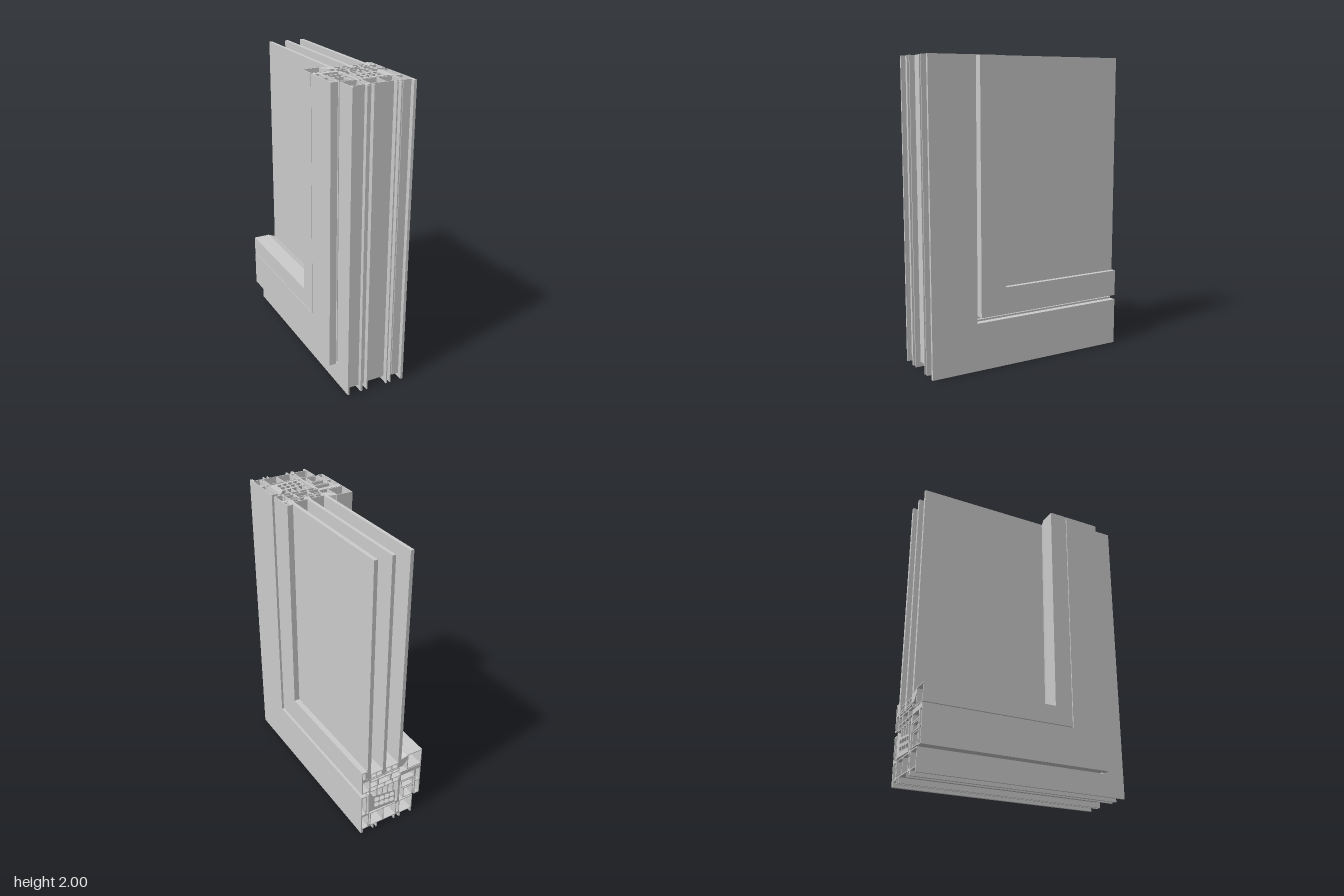
import * as THREE from 'three';

const TOP = 2, EDGE = 0.71;
const material = new THREE.MeshStandardMaterial({ color: 0xcccccc, flatShading: true, side: THREE.DoubleSide });

// Sweeps an (x, z) profile down the upright and, through a mitre, along the sill.
function sweep(name, outline, holes = []) {
  const prepare = (pts, clockwise) => {
    const v = pts.map(([x, z]) => new THREE.Vector2(x, EDGE - z));
    return THREE.ShapeUtils.isClockWise(v) === clockwise ? v : v.reverse();
  };
  const outer = prepare(outline, false);
  const inner = holes.map((h) => prepare(h, true));
  const sections = [
    (p) => [p.x, TOP, EDGE - p.y],
    (p) => [p.x, p.y, EDGE - p.y],
    (p) => [p.x, p.y, -EDGE],
  ];
  const pos = [];
  for (const loop of [outer, ...inner]) {
    loop.forEach((a, i) => {
      const b = loop[(i + 1) % loop.length];
      for (let s = 0; s < 2; s++) {
        const [up, low] = [sections[s], sections[s + 1]];
        pos.push(...low(a), ...low(b), ...up(b), ...low(a), ...up(b), ...up(a));
      }
    });
  }
  // End caps
  const all = [...outer, ...inner.flat()];
  for (const [a, b, c] of THREE.ShapeUtils.triangulateShape(outer, inner)) {
    for (const i of [a, b, c]) pos.push(...sections[0](all[i]));
    for (const i of [c, b, a]) pos.push(...sections[2](all[i]));
  }
  const geo = new THREE.BufferGeometry();
  geo.setAttribute('position', new THREE.Float32BufferAttribute(pos, 3));
  geo.computeVertexNormals();
  const mesh = new THREE.Mesh(geo, material);
  mesh.name = name;
  return mesh;
}

const rect = (x0, x1, z0, z1) => [[x0, z0], [x1, z0], [x1, z1], [x0, z1]];

// Rectangular profile divided into n hollow chambers across x
function chambers(name, x0, x1, z0, z1, n = 1, t = 0.006) {
  const w = (x1 - x0 - t) / n;
  const holes = Array.from({ length: n }, (_, i) =>
    rect(x0 + t + i * w, x0 + (i + 1) * w, z0 + t, z1 - t));
  return sweep(name, rect(x0, x1, z0, z1), holes);
}

function group(name, ...parts) {
  const g = new THREE.Group();
  g.name = name;
  g.add(...parts);
  return g;
}

export function createModel() {
  const model = group('windowCornerSection');

  // Fixed frame: inner shell, insulating bars, outer shell
  const frame = group('fixedFrame',
    chambers('innerFrameShell', -0.18, -0.07, 0.562, 0.68),
    chambers('frameInsulator', -0.05, 0.16, 0.562, 0.675, 2),
    sweep('frameTongue', [[-0.07, 0.35], [-0.055, 0.35], [-0.055, 0.55], [-0.04, 0.55], [-0.04, 0.57], [-0.07, 0.57]]),
    sweep('innerFrameClip', rect(-0.07, -0.05, 0.66, 0.68)),
    sweep('outerFrameClip', rect(0.16, 0.175, 0.66, 0.68)),
    sweep('outerFrameShell',
      [[0.19, 0.393], [0.23, 0.393], [0.23, 0.68], [0.17, 0.68], [0.17, 0.555], [0.19, 0.555]],
      [rect(0.196, 0.224, 0.4, 0.55), rect(0.177, 0.223, 0.568, 0.673)]),
  );
  // Lips along the outer edge
  for (const [x0, x1] of [[-0.18, -0.168], [-0.087, -0.073], [-0.043, -0.035], [0.102, 0.11], [0.13, 0.137], [0.212, 0.23]])
    frame.add(sweep('edgeLip', rect(x0, x1, 0.67, 0.71)));
  model.add(frame);

  // Opening sash
  model.add(group('sash',
    sweep('innerSashShell',
      [[-0.235, 0.31], [-0.07, 0.31], [-0.07, 0.395], [-0.19, 0.395], [-0.19, 0.56], [-0.235, 0.56]],
      [rect(-0.183, -0.077, 0.34, 0.388), rect(-0.228, -0.197, 0.34, 0.44), rect(-0.228, -0.197, 0.447, 0.553)]),
    chambers('hardwareChannel', -0.18, -0.08, 0.4, 0.455),
    chambers('hardwareChannel', -0.18, -0.1, 0.462, 0.552),
    chambers('sashInsulator', -0.07, 0.175, 0.332, 0.372, 4),
    sweep('outerSashShell',
      [[0.2, 0.183], [0.23, 0.183], [0.23, 0.362], [0.165, 0.362], [0.165, 0.265], [0.2, 0.25]],
      [rect(0.206, 0.224, 0.19, 0.24), rect(0.172, 0.223, 0.268, 0.355)]),
  ));

  // Glazing bead and gaskets
  model.add(group('glazingBead',
    chambers('bead', -0.235, -0.12, 0.183, 0.305),
    sweep('innerGlassGasket', [[-0.12, 0.187], [-0.07, 0.2], [-0.07, 0.26], [-0.085, 0.26], [-0.12, 0.22]]),
    sweep('outerGlassGasket', rect(0.19, 0.2, 0.187, 0.245)),
  ));

  // Central seal: tapered core pierced by two rows of slanted cells
  const cells = [];
  for (let row = 0; row < 2; row++)
    for (let i = 0; i < 4; i++) {
      const x = -0.022 + i * 0.04, z = 0.455 + row * 0.045 - i * 0.004;
      cells.push([[x, z], [x + 0.028, z - 0.004], [x + 0.034, z + 0.015], [x + 0.026, z + 0.033], [x - 0.002, z + 0.036], [x - 0.006, z + 0.017]]);
    }
  model.add(group('centralSeal',
    sweep('sealCore', [[-0.035, 0.445], [0.14, 0.42], [0.155, 0.545], [-0.035, 0.555]], cells),
    sweep('sealWing', [[0.14, 0.42], [0.172, 0.38], [0.18, 0.385], [0.175, 0.555], [0.155, 0.545]]),
    ...[0, 1, 2, 3].map((i) => sweep('sealFin', rect(-0.02 + i * 0.043, -0.012 + i * 0.043, 0.372, 0.45 - i * 0.006))),
  ));

  // Triple glazing with spacers and support block
  const glazing = group('glazing');
  for (const [x0, x1] of [[-0.07, -0.047], [0.05, 0.073], [0.165, 0.19]]) {
    const pane = new THREE.Mesh(new THREE.BoxGeometry(x1 - x0, 1.55, 0.97), material);
    pane.position.set((x0 + x1) / 2, 1.225, -0.225);
    pane.name = 'glassPane';
    glazing.add(pane);
  }
  glazing.add(
    chambers('spacer', -0.047, 0.05, 0.217, 0.257, 2),
    chambers('spacer', 0.073, 0.165, 0.217, 0.257, 2),
    chambers('glazingBlock', -0.06, 0.165, 0.262, 0.29, 4),
    sweep('blockSupport', rect(0, 0.012, 0.29, 0.332)),
    sweep('blockSupport', rect(0.1, 0.112, 0.29, 0.332)),
  );
  model.add(glazing);
  return model;
}
